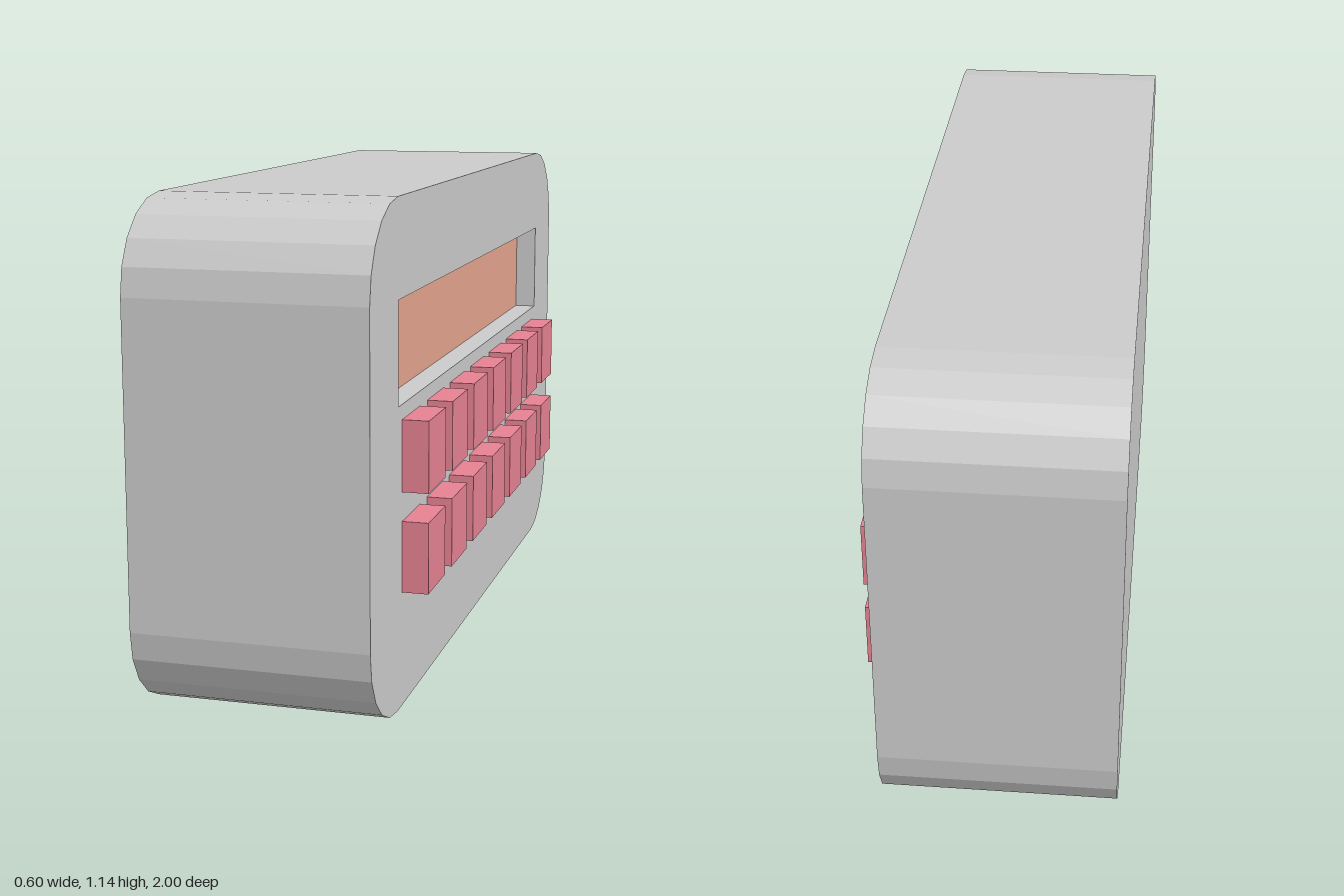
import * as THREE from 'three';
import { mergeGeometries } from 'three/addons/utils/BufferGeometryUtils.js';

const BACK = -0.30, FACE = 0.24, RECESS = 0.055, HEIGHT = 1.14;

// Housing outline, counterclockwise, with five-sided elliptical corners
function roundedOutline(rx, ry, steps) {
  const points = [];
  const corners = [[1, 0], [1, 1], [-1, 1], [-1, 0]];
  corners.forEach(([side, top], k) => {
    const cx = side * (1 - rx), cy = top ? HEIGHT - ry : ry;
    for (let i = 0; i <= steps; i++) {
      const a = (k - 1 + i / steps) * Math.PI / 2;
      points.push(new THREE.Vector2(cx + rx * Math.cos(a), cy + ry * Math.sin(a)));
    }
  });
  return points;
}

// Flat wall strip along a closed outline; it faces outward if counterclockwise
function wall(points, z0, z1) {
  const quads = points.map((p, i) => {
    const q = points[(i + 1) % points.length];
    const corners = [[p, z0], [q, z0], [q, z1], [p, z0], [q, z1], [p, z1]];
    const g = new THREE.BufferGeometry().setFromPoints(
      corners.map(([v, z]) => new THREE.Vector3(v.x, v.y, z)));
    g.computeVertexNormals();
    return g;
  });
  return mergeGeometries(quads);
}

export function createModel() {
  const model = new THREE.Group();
  model.name = 'keypadUnit';
  // Parts are drawn facing +z, then turned to face +x
  const unit = new THREE.Group();
  unit.name = 'unit';
  unit.rotation.y = Math.PI / 2;
  model.add(unit);

  const grey = new THREE.MeshStandardMaterial({ color: 0xcccccc, flatShading: true });
  const orange = new THREE.MeshStandardMaterial({ color: 0xe6a48f });
  const red = new THREE.MeshStandardMaterial({ color: 0xe68292 });

  const add = (name, geometry, material, x = 0, y = 0, z = 0) => {
    const mesh = new THREE.Mesh(geometry, material);
    mesh.name = name;
    mesh.position.set(x, y, z);
    unit.add(mesh);
  };

  // Housing: side wall, back, and a face with the display opening
  const outline = roundedOutline(0.22, 0.205, 5);
  const w = 1.556, y0 = 0.688, y1 = 0.92;
  const opening = [[-w / 2, y0], [-w / 2, y1], [w / 2, y1], [w / 2, y0]]
    .map(([x, y]) => new THREE.Vector2(x, y));
  const face = new THREE.Shape(outline);
  face.holes.push(new THREE.Path(opening));
  add('housingSide', wall(outline, BACK, FACE), grey);
  add('housingBack', new THREE.ShapeGeometry(new THREE.Shape(outline)).rotateY(Math.PI), grey, 0, 0, BACK);
  add('housingFace', new THREE.ShapeGeometry(face), grey, 0, 0, FACE);

  // Recessed display
  add('displayRim', wall(opening, FACE - RECESS, FACE), grey);
  add('display', new THREE.PlaneGeometry(w, y1 - y0), orange, 0, (y0 + y1) / 2, FACE - RECESS);

  // Two rows of seven keys
  const keyGeometry = new THREE.BoxGeometry(0.156, 0.162, 0.06);
  [0.573, 0.345].forEach((y, row) => {
    for (let i = 0; i < 7; i++) {
      add(`key${row * 7 + i + 1}`, keyGeometry, red, (i - 3) * 0.2225, y, FACE + 0.03);
    }
  });

  return model;
}
